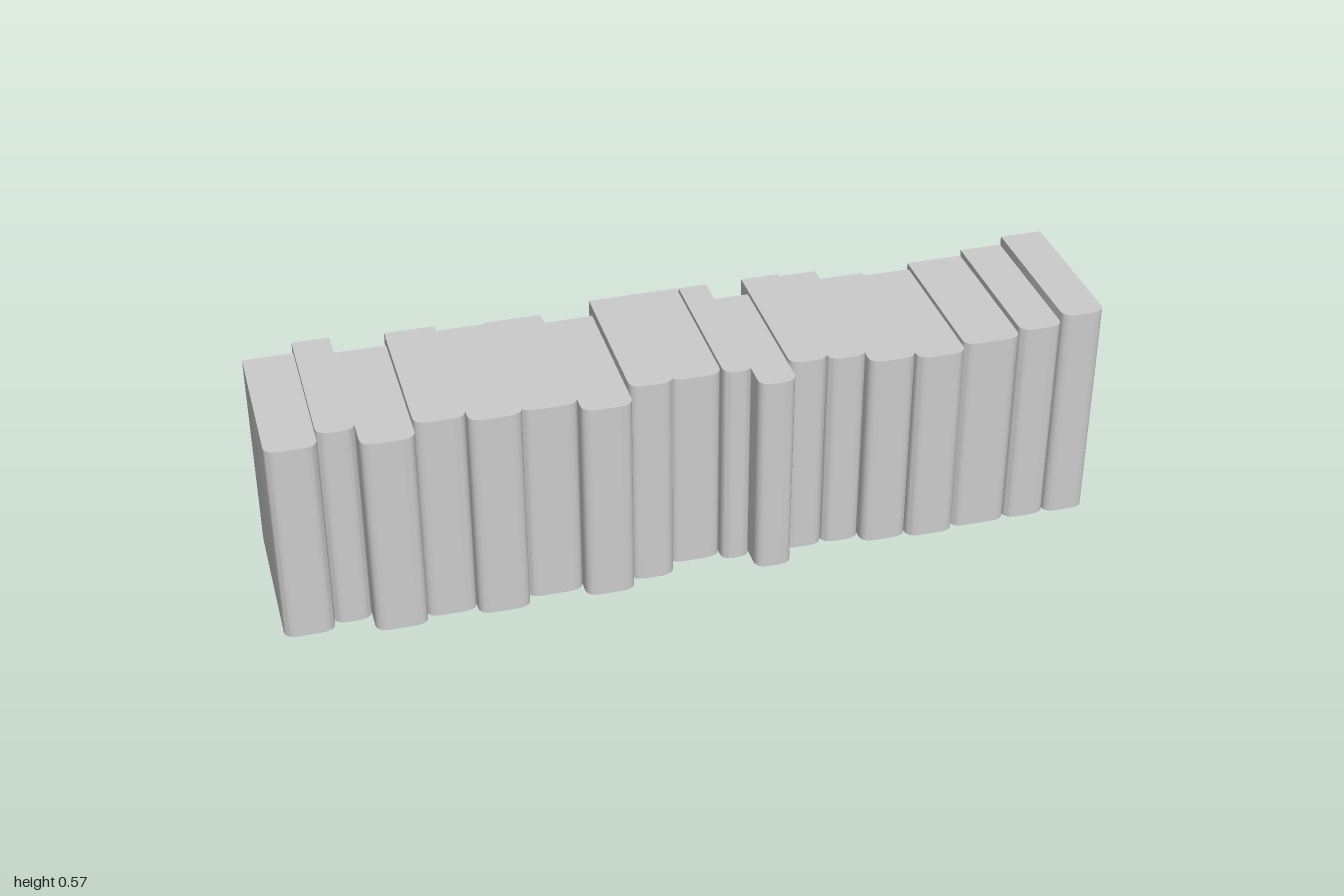
import * as THREE from 'three';
import { toCreasedNormals } from 'three/addons/utils/BufferGeometryUtils.js';

// Each book: right edge x, front z of the spine, height
const BOOKS = [
  [-0.88, 0.205, 0.52], [-0.79, 0.182, 0.535], [-0.665, 0.237, 0.525],
  [-0.545, 0.215, 0.546], [-0.42, 0.237, 0.546], [-0.285, 0.205, 0.53],
  [-0.165, 0.237, 0.526], [-0.06, 0.205, 0.55], [0.065, 0.163, 0.525],
  [0.135, 0.182, 0.536], [0.225, 0.237, 0.525], [0.32, 0.182, 0.536],
  [0.415, 0.182, 0.53], [0.53, 0.205, 0.52], [0.65, 0.215, 0.518],
  [0.79, 0.205, 0.53], [0.895, 0.205, 0.546], [1.0, 0.207, 0.57],
];
const DEPTH = 0.402;

// Upright block with a rounded spine at the front
function bookGeometry(x0, x1, front, height) {
  const rx = Math.min(0.036, (x1 - x0) * 0.4);
  const rz = 0.027;
  const back = front - DEPTH;
  const s = new THREE.Shape();
  // shape y is minus z, so the spine lies at the low end
  s.moveTo(x0, -back);
  s.lineTo(x0, -front + rz);
  s.quadraticCurveTo(x0, -front, x0 + rx, -front);
  s.lineTo(x1 - rx, -front);
  s.quadraticCurveTo(x1, -front, x1, -front + rz);
  s.lineTo(x1, -back);
  s.closePath();
  const g = new THREE.ExtrudeGeometry(s, { depth: height, bevelEnabled: false, curveSegments: 6 });
  g.rotateX(-Math.PI / 2);
  return toCreasedNormals(g, 0.7);
}

export function createModel() {
  const group = new THREE.Group();
  group.name = 'bookRow';
  const grey = new THREE.MeshStandardMaterial({ color: 0xcccccc });
  grey.name = 'light grey';

  let left = -1;
  BOOKS.forEach(([right, front, height], i) => {
    const book = new THREE.Mesh(bookGeometry(left, right, front, height), grey);
    book.name = `book${i + 1}`;
    group.add(book);
    left = right;
  });
  return group;
}
